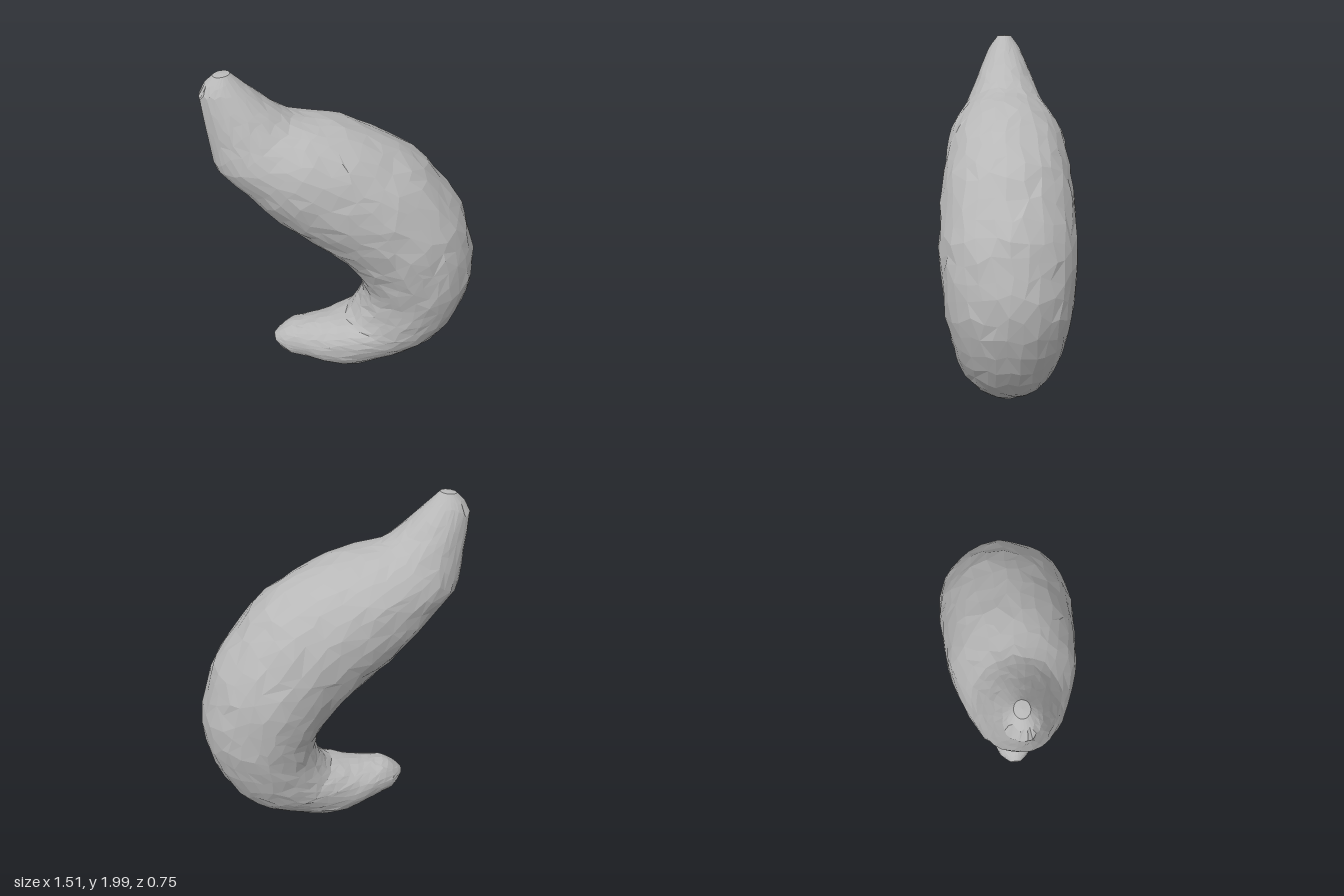
import * as THREE from 'three';

// Cross-sections along the curl: outer x, y, inner x, y, half depth
const SECTIONS = [
  [-0.59, 2.0, -0.68, 1.99, 0.04], [-0.54, 1.95, -0.755, 1.9, 0.09],
  [-0.45, 1.87, -0.74, 1.73, 0.145], [-0.37, 1.8, -0.72, 1.57, 0.19],
  [-0.28, 1.74, -0.69, 1.44, 0.235], [-0.18, 1.715, -0.57, 1.33, 0.285],
  [-0.04, 1.69, -0.45, 1.18, 0.33], [0.1, 1.63, -0.32, 1.06, 0.35],
  [0.27, 1.54, -0.21, 0.97, 0.36], [0.42, 1.43, -0.1, 0.88, 0.37],
  [0.55, 1.27, 0, 0.78, 0.375], [0.66, 1.11, 0.06, 0.69, 0.37],
  [0.71, 0.95, 0.095, 0.62, 0.36], [0.75, 0.76, 0.105, 0.55, 0.345],
  [0.72, 0.55, 0.09, 0.48, 0.32], [0.65, 0.37, 0.06, 0.42, 0.295],
  [0.54, 0.22, 0.01, 0.36, 0.265], [0.4, 0.12, -0.06, 0.35, 0.235],
  [0.25, 0.06, -0.13, 0.335, 0.21], [0.08, 0.005, -0.2, 0.33, 0.185],
  [-0.08, 0.02, -0.26, 0.325, 0.16], [-0.22, 0.07, -0.32, 0.32, 0.13],
  [-0.36, 0.115, -0.38, 0.285, 0.09], [-0.425, 0.19, -0.43, 0.235, 0.03],
];
const RINGS = 40, SIDES = 28;

// Seeded noise in -1..1
function makeNoise(seed) {
  return () => {
    seed = (seed * 16807) % 2147483647;
    return (seed / 2147483647) * 2 - 1;
  };
}

function curledBodyGeometry() {
  const noise = makeNoise(4211);
  const outer = new THREE.CatmullRomCurve3(SECTIONS.map(s => new THREE.Vector3(s[0], s[1], s[4])));
  const inner = new THREE.CatmullRomCurve3(SECTIONS.map(s => new THREE.Vector3(s[2], s[3], s[4])));
  const positions = [], index = [];

  // Rings of slightly uneven points give the rough, faceted skin
  for (let i = 0; i <= RINGS; i++) {
    for (let j = 0; j < SIDES; j++) {
      const edge = i === 0 || i === RINGS;
      const t = THREE.MathUtils.clamp((i + (edge ? 0 : noise() * 0.27)) / RINGS, 0, 1);
      const a = ((j + noise() * 0.25) / SIDES) * Math.PI * 2;
      const o = outer.getPoint(t), n = inner.getPoint(t);
      const r = 1 + noise() * 0.016;
      const c = Math.cos(a) * r / 2;
      positions.push(
        (o.x + n.x) / 2 + (o.x - n.x) * c,
        Math.max(0, (o.y + n.y) / 2 + (o.y - n.y) * c),
        (o.z + n.z) / 2 * Math.sin(a) * r);
    }
  }
  for (let i = 0; i < RINGS; i++) {
    for (let j = 0; j < SIDES; j++) {
      const k = (j + 1) % SIDES;
      const a = i * SIDES + j, b = i * SIDES + k;
      const c = b + SIDES, d = a + SIDES;
      if (noise() > 0) index.push(a, b, c, a, c, d);
      else index.push(a, b, d, b, c, d);
    }
  }

  // Close both blunt tips
  const top = positions.length / 3, last = RINGS * SIDES;
  positions.push(-0.635, 2.0, 0, -0.432, 0.215, 0);
  for (let j = 0; j < SIDES; j++) {
    const k = (j + 1) % SIDES;
    index.push(top, k, j, top + 1, last + j, last + k);
  }

  const geometry = new THREE.BufferGeometry();
  geometry.setAttribute('position', new THREE.Float32BufferAttribute(positions, 3));
  geometry.setIndex(index);
  const flat = geometry.toNonIndexed();
  flat.computeVertexNormals();
  return flat;
}

export function createModel() {
  const model = new THREE.Group();
  model.name = 'curledPiece';
  const grey = new THREE.MeshStandardMaterial({ color: 0xb8b8b8 });
  grey.name = 'plain grey';
  grey.flatShading = true;
  const body = new THREE.Mesh(curledBodyGeometry(), grey);
  body.name = 'curledBody';
  model.add(body);
  return model;
}
